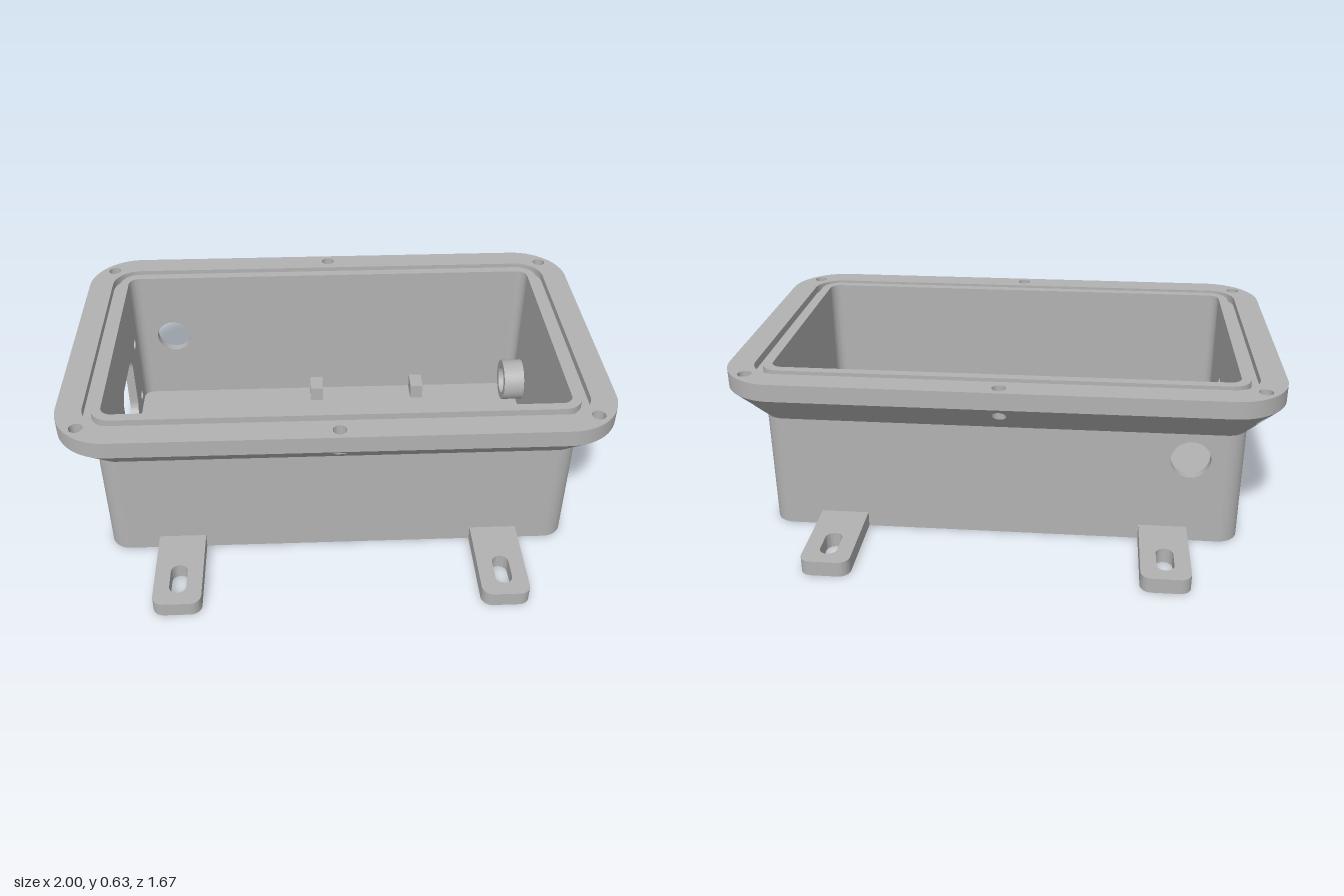
import * as THREE from 'three';
import { toCreasedNormals } from 'three/addons/utils/BufferGeometryUtils.js';

const grey = new THREE.MeshStandardMaterial({ color: 0xb2b2b2, side: THREE.DoubleSide });
grey.name = 'housing grey';

// Centres of the corner arcs, shared by every rounded outline
const CX = 0.8, CZ = 0.4175;
const R_IN = 0.04, R_WALL = 0.075, R_GROOVE = 0.105, R_FLANGE = 0.2;
const FLARE_Y = 0.44, FLANGE_Y = 0.565, TOP = 0.63, FLOOR = 0.035, T = 0.035;
const SCREW_R = 0.025;
const SCREWS = [[0.91, 0.53], [-0.91, 0.53], [0.91, -0.53], [-0.91, -0.53], [0, 0.575], [0, -0.575]];

const circle = (x, y, r) => new THREE.Path().absarc(x, y, r, 0, Math.PI * 2);

// Rounded rectangle given by half-sizes, corner radius and centre
function rounded(hw, hh, r, x = 0, y = 0, Type = THREE.Path) {
  const p = new Type();
  [[1, 1], [-1, 1], [-1, -1], [1, -1]].forEach(([sx, sy], i) =>
    p.absarc(x + sx * (hw - r), y + sy * (hh - r), r, i * Math.PI / 2, (i + 1) * Math.PI / 2));
  p.closePath();
  return p;
}
const outline = (r, Type) => rounded(CX + r, CZ + r, r, 0, 0, Type);

function extrude(shape, holes, depth) {
  shape.holes.push(...holes);
  return toCreasedNormals(
    new THREE.ExtrudeGeometry(shape, { depth, bevelEnabled: false, curveSegments: 16 }), 0.5);
}
function add(parent, name, geometry, x = 0, y = 0, z = 0) {
  const m = new THREE.Mesh(geometry, grey);
  m.name = name;
  m.position.set(x, y, z);
  parent.add(m);
  return m;
}
// Plan outline raised upwards
const slab = (shape, holes, depth) => extrude(shape, holes, depth).rotateX(-Math.PI / 2);
// Outline in (z, y) extruded towards -x
const sidePanel = (shape, holes, depth) => extrude(shape, holes, depth).rotateY(-Math.PI / 2);

function rect(hw, y0, y1) {
  return new THREE.Shape([[-hw, y0], [hw, y0], [hw, y1], [-hw, y1]].map(p => new THREE.Vector2(...p)));
}

// Height of the sloping underside at a plan position
const flareY = (x, z) => FLARE_Y - R_WALL +
  Math.hypot(Math.max(Math.abs(x) - CX, 0), Math.max(Math.abs(z) - CZ, 0));

// Sloping underside, pierced by the screw holes
function flareGeometry() {
  const pos = [];
  const tri = (a, b, c) => {
    const up = (b[1] - a[1]) * (c[0] - a[0]) - (b[0] - a[0]) * (c[1] - a[1]);
    for (const [x, z] of up > 0 ? [a, c, b] : [a, b, c]) pos.push(x, flareY(x, z), z);
  };
  const quad = (a, b, c, d) => { tri(a, b, c); tri(a, c, d); };
  const lerp = (a, b, t) => [a[0] + (b[0] - a[0]) * t, a[1] + (b[1] - a[1]) * t];
  // Patch between a hole and its surrounding loop
  const pierced = (c, loop) => {
    const inner = loop.map(p => {
      const d = Math.hypot(p[0] - c[0], p[1] - c[1]);
      return lerp(c, p, SCREW_R / d);
    });
    const K = 4;
    loop.forEach((p, i) => {
      const j = (i + 1) % loop.length;
      for (let k = 0; k < K; k++) {
        quad(lerp(inner[i], p, k / K), lerp(inner[j], loop[j], k / K),
          lerp(inner[j], loop[j], (k + 1) / K), lerp(inner[i], p, (k + 1) / K));
      }
    });
  };
  const N = 24, zi = CZ + R_WALL, zo = CZ + R_FLANGE, xi = CX + R_WALL, xo = CX + R_FLANGE;
  for (const sz of [1, -1]) {
    for (const sx of [1, -1]) {
      const at = (r, t) => [sx * (CX + r * Math.cos(t * Math.PI / 2)), sz * (CZ + r * Math.sin(t * Math.PI / 2))];
      const loop = [];
      for (let i = 0; i <= N; i++) loop.push(at(R_FLANGE, i / N));
      for (let i = 1; i < 5; i++) loop.push(at(R_FLANGE + (R_WALL - R_FLANGE) * i / 5, 1));
      for (let i = N; i >= 0; i--) loop.push(at(R_WALL, i / N));
      for (let i = 1; i < 5; i++) loop.push(at(R_WALL + (R_FLANGE - R_WALL) * i / 5, 0));
      pierced([sx * 0.91, sz * 0.53], loop);
      quad([sx * 0.1, sz * zi], [sx * CX, sz * zi], [sx * CX, sz * zo], [sx * 0.1, sz * zo]);
    }
    const corners = [[-0.1, zi], [0.1, zi], [0.1, zo], [-0.1, zo]].map(p => [p[0], sz * p[1]]);
    const loop = [];
    corners.forEach((p, i) => {
      for (let k = 0; k < 8; k++) loop.push(lerp(p, corners[(i + 1) % 4], k / 8));
    });
    pierced([0, sz * 0.575], loop);
    quad([sz * xi, -CZ], [sz * xo, -CZ], [sz * xo, CZ], [sz * xi, CZ]);
  }
  const g = new THREE.BufferGeometry();
  g.setAttribute('position', new THREE.Float32BufferAttribute(pos, 3));
  return toCreasedNormals(g, 0.5);
}

export function createModel() {
  const model = new THREE.Group();
  model.name = 'enclosure';

  // Floor and four walls with their openings
  add(model, 'floor', slab(outline(R_IN, THREE.Shape), [], FLOOR));
  add(model, 'frontWall', extrude(rect(CX, 0, TOP), [], T), 0, 0, CZ + R_IN);
  add(model, 'backWall', extrude(rect(CX, 0, TOP), [circle(-0.68, 0.337, 0.072)], T), 0, 0, -CZ - R_WALL);
  add(model, 'rightWall', sidePanel(rect(CZ, 0, TOP), [circle(-0.305, 0.17, 0.058)], T), CX + R_WALL);
  const socket = [rounded(0.145, 0.15, 0.06, -0.105, 0.23)];
  for (const z of [-0.36, 0.15]) for (const y of [0.092, 0.365]) socket.push(circle(z, y, 0.021));
  add(model, 'leftWall', sidePanel(rect(CZ, 0, TOP), socket, T), -CX - R_IN);

  // Rounded wall corners
  [[1, 1], [-1, 1], [-1, -1], [1, -1]].forEach(([sx, sy], i) => {
    const a = i * Math.PI / 2, s = new THREE.Shape();
    s.absarc(sx * CX, sy * CZ, R_WALL, a, a + Math.PI / 2, false);
    s.absarc(sx * CX, sy * CZ, R_IN, a + Math.PI / 2, a, true);
    s.closePath();
    add(model, 'wallCorner', slab(s, [], TOP));
  });

  // Cable boss on the inside of one end wall
  add(model, 'cableBoss', sidePanel(new THREE.Shape().absarc(-0.305, 0.17, 0.087, 0, Math.PI * 2),
    [circle(-0.305, 0.17, 0.058)], 0.085), CX + R_IN);

  // Flange, seal groove and sloping underside
  const screwHoles = SCREWS.map(([x, z]) => circle(x, -z, SCREW_R));
  add(model, 'flange', slab(outline(R_FLANGE, THREE.Shape),
    [outline(R_GROOVE), ...screwHoles], TOP - FLANGE_Y), 0, FLANGE_Y);
  add(model, 'grooveFloor', slab(outline(R_GROOVE, THREE.Shape), [outline(R_WALL)], 0.035), 0, FLANGE_Y);
  add(model, 'flare', flareGeometry());
  for (const [x, z] of SCREWS) {
    const g = new THREE.CylinderGeometry(SCREW_R, SCREW_R, 1, 32, 1, true);
    const p = g.attributes.position;
    for (let i = 0; i < p.count; i++) {
      p.setY(i, p.getY(i) > 0 ? FLANGE_Y : flareY(x + p.getX(i), z + p.getZ(i)));
    }
    add(model, 'screwHole', g, x, 0, z);
  }

  // Slotted mounting feet
  for (const x of [-0.595, 0.595]) for (const s of [1, -1]) {
    const foot = new THREE.Shape(), e = 0.833, r = 0.04, w = 0.088;
    foot.moveTo(-w, 0.48);
    foot.lineTo(w, 0.48);
    foot.absarc(w - r, e - r, r, 0, Math.PI / 2);
    foot.absarc(r - w, e - r, r, Math.PI / 2, Math.PI);
    foot.closePath();
    const m = add(model, 'mountingFoot', slab(foot, [rounded(0.031, 0.067, 0.0305, 0, 0.712)], 0.057), x);
    if (s > 0) m.rotation.y = Math.PI;
  }

  // Board ribs and posts standing on the floor
  const block = (name, x, z, w, d, top) =>
    add(model, name, new THREE.BoxGeometry(w, top - 0.02, d), x, (top + 0.02) / 2, z);
  for (const z of [-0.032, 0.369]) {
    block('boardRib', -0.329, z, 0.112, 0.022, 0.125);
    block('boardRib', 0.177, z, 0.225, 0.022, 0.125);
    block('boardRib', 0.697, z, 0.112, 0.022, 0.125);
  }
  for (const x of [-0.459, 0.823]) block('boardEndRib', x, 0.171, 0.022, 0.108, 0.125);
  for (const x of [-0.059, 0.391]) for (const z of [-0.407, -0.126]) block('backPost', x, z, 0.054, 0.088, 0.1);
  for (const x of [-0.128, 0.492]) for (const z of [-0.064, 0.407]) block('frontPost', x, z, 0.054, 0.088, 0.1);

  return model;
}
